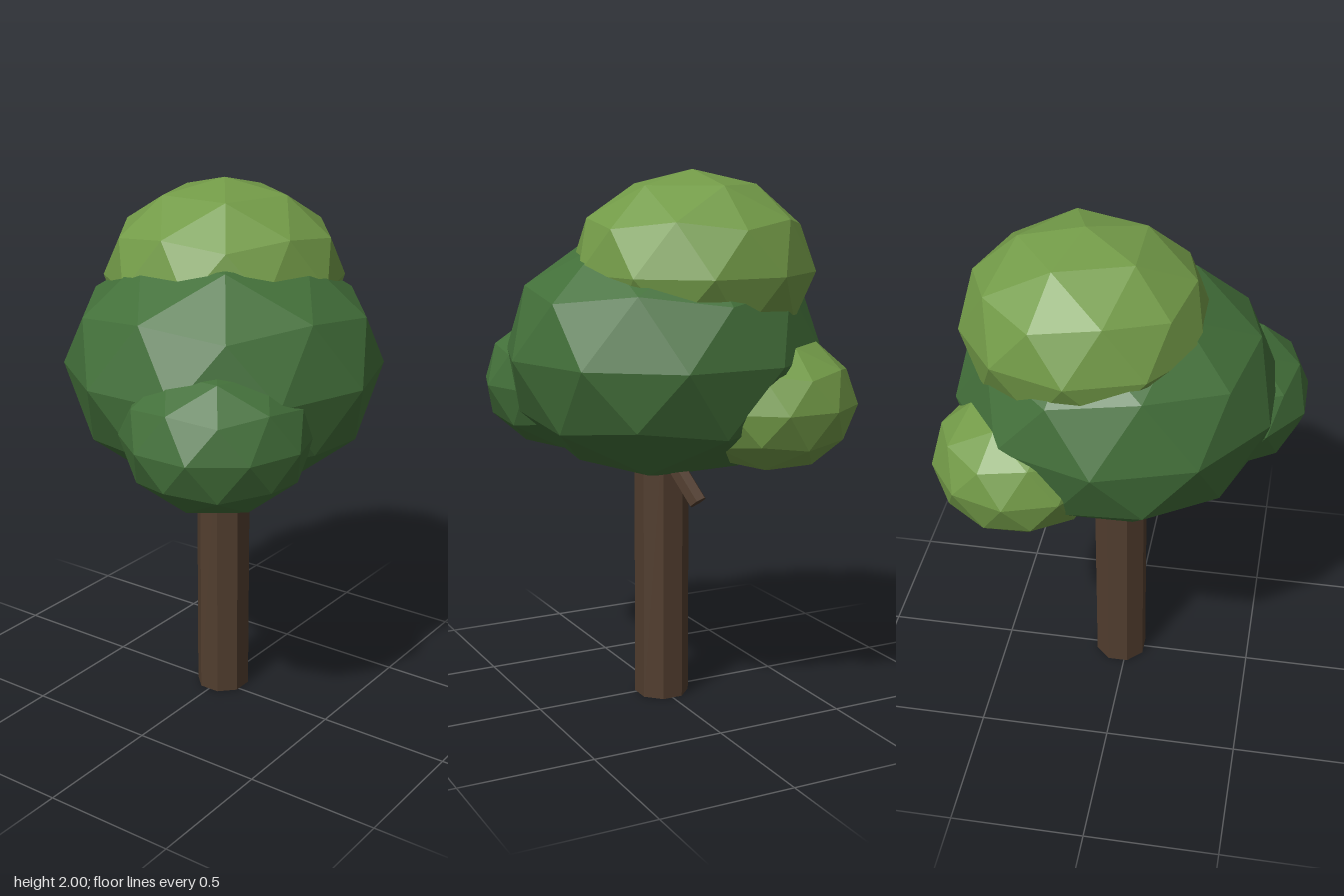
import * as THREE from 'three';

const paint = (name, color) => {
  const m = new THREE.MeshStandardMaterial({ color, flatShading: true });
  m.name = name;
  return m;
};

// Faceted leaf clump: a 80-sided ball with a corner at the top, slightly squashed
function clump(name, material, radius, x, y, z) {
  const geometry = new THREE.IcosahedronGeometry(radius, 1);
  geometry.rotateZ(-Math.atan(2 / (1 + Math.sqrt(5))));
  geometry.scale(1, 0.8, 1);
  geometry.computeVertexNormals();
  const mesh = new THREE.Mesh(geometry, material);
  mesh.name = name;
  mesh.position.set(x, y, z);
  return mesh;
}

export function createModel() {
  const bark = paint('bark brown', 0x513d2e);
  const darkLeaf = paint('dark leaf green', 0x43703a);
  const lightLeaf = paint('light leaf green', 0x739b48);
  const tree = new THREE.Group();
  tree.name = 'tree';

  // Eight-sided trunk with flat faces to the front and sides
  const trunkGeometry = new THREE.CylinderGeometry(0.103, 0.103, 1.1, 8);
  trunkGeometry.rotateY(Math.PI / 8);
  const trunk = new THREE.Mesh(trunkGeometry, bark);
  trunk.name = 'trunk';
  trunk.position.set(0.026, 0.55, 0);

  // Branch stub poking down out of the crown
  const up = new THREE.Vector3(-0.58, 0.81, 0.3).normalize();
  const branch = new THREE.Mesh(new THREE.CylinderGeometry(0.035, 0.035, 0.3, 6), bark);
  branch.name = 'branch';
  branch.quaternion.setFromUnitVectors(new THREE.Vector3(0, 1, 0), up);
  branch.position.set(0.29, 0.81, -0.015).addScaledVector(up, 0.15);

  // Crown
  tree.add(
    trunk,
    branch,
    clump('mainFoliage', darkLeaf, 0.595, 0.03, 1.335, 0),
    clump('topFoliage', lightLeaf, 0.45, 0.13, 1.64, -0.07),
    clump('leftFoliage', lightLeaf, 0.32, 0.34, 1.17, -0.28),
    clump('rightFoliage', darkLeaf, 0.345, -0.318, 1.195, 0.217),
  );
  return tree;
}
